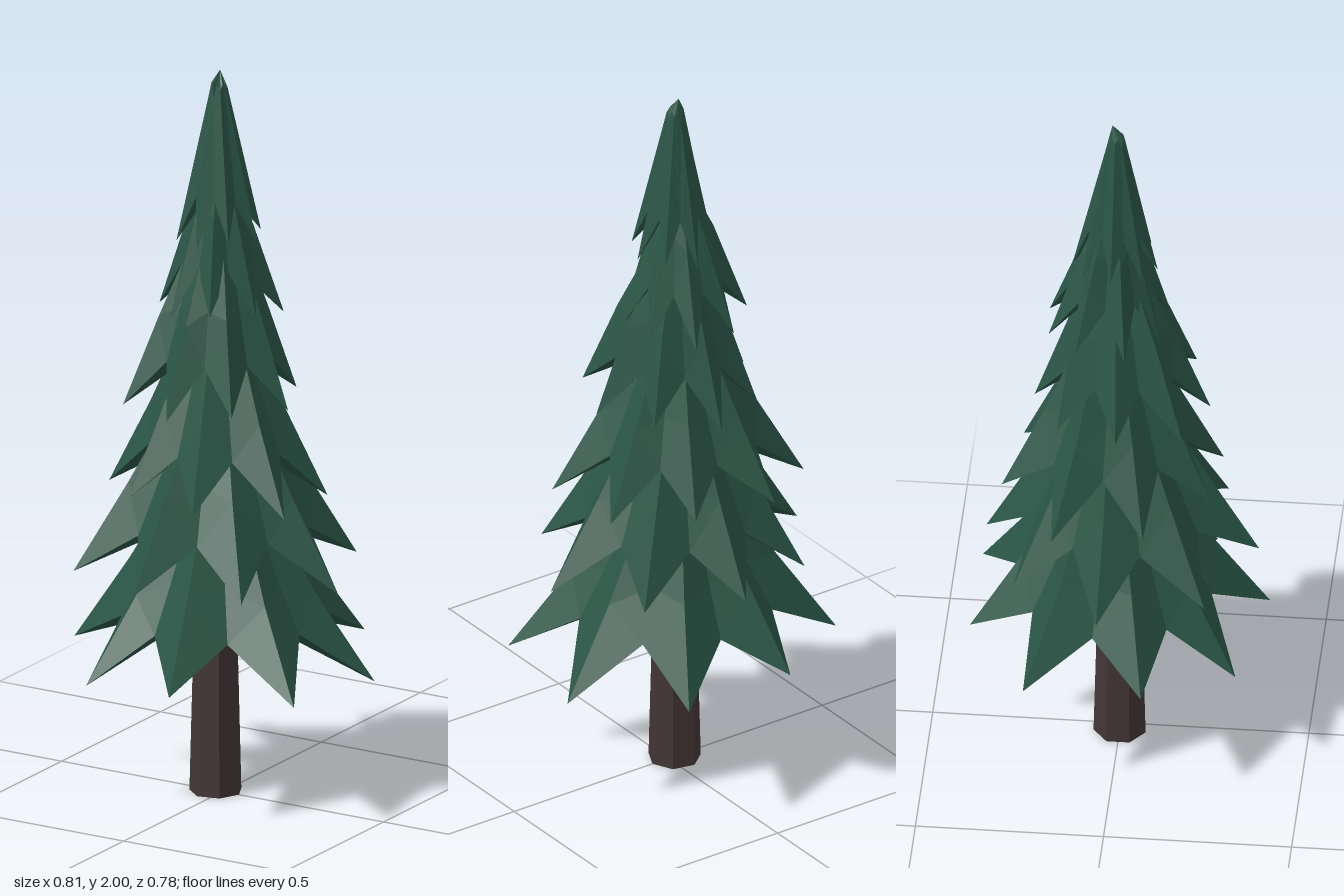
import * as THREE from 'three';

const needles = new THREE.MeshStandardMaterial({ color: 0x2a5546, flatShading: true });
needles.name = 'needle green';
const bark = new THREE.MeshStandardMaterial({ color: 0x433636, flatShading: true });
bark.name = 'bark brown';

const CX = -0.02, CZ = -0.01; // trunk axis

// Eight branch tips [x, y, z] of the three widest tiers
const lowTips = [
  [0.405, 0.345, -0.11], [0.36, 0.355, 0.225], [0.073, 0.38, 0.39], [-0.225, 0.345, 0.325],
  [-0.405, 0.39, 0.09], [-0.385, 0.38, -0.225], [-0.12, 0.39, -0.39], [0.205, 0.38, -0.385],
];
const secondTips = [
  [0.37, 0.615, 0.017], [0.222, 0.63, 0.267], [-0.045, 0.64, 0.372], [-0.31, 0.63, 0.25],
  [-0.397, 0.62, -0.03], [-0.255, 0.62, -0.265], [0, 0.635, -0.357], [0.259, 0.64, -0.257],
];
const thirdTips = [
  [0.262, 0.84, -0.105], [0.278, 0.84, 0.14], [0.07, 0.85, 0.268], [-0.14, 0.86, 0.25],
  [-0.3, 0.84, 0.085], [-0.33, 0.84, -0.155], [-0.13, 0.87, -0.305], [0.1, 0.87, -0.267],
];

// Regular ring of tips with a small wobble for the upper tiers
function ringTips(radius, y, phase, cx, cz) {
  return Array.from({ length: 8 }, (_, i) => {
    const a = phase + i * Math.PI / 4;
    const r = radius * (1 + 0.04 * Math.sin(i * 2.4 + phase * 9));
    return [cx + r * Math.cos(a), y + 0.015 * Math.sin(i * 1.9 + phase * 5), cz + r * Math.sin(a)];
  });
}

// Star-shaped skirt: tips and valleys, a kinked ridge ring, a peak and a hollow underside
function tierGeometry(tips, rise, taper, peakY) {
  const n = tips.length * 2;
  const meanY = tips.reduce((s, t) => s + t[1], 0) / tips.length;
  const toward = (p, k, y) => [CX + (p[0] - CX) * k, y, CZ + (p[2] - CZ) * k];
  const rim = [], mid = [];
  tips.forEach((t, i) => {
    const u = tips[(i + 1) % tips.length];
    const between = [(t[0] + u[0]) / 2, 0, (t[2] + u[2]) / 2];
    rim.push(t, toward(between, 0.7, meanY + 0.12));
    mid.push(toward(t, taper, t[1] + rise), toward(between, taper * 0.83, meanY + rise + 0.025));
  });
  const peak = [CX, peakY, CZ - 0.01];
  const hollow = [CX, meanY + 0.155, CZ];
  const pos = [];
  const tri = (...pts) => pts.forEach((p) => pos.push(...p));
  for (let i = 0; i < n; i++) {
    const j = (i + 1) % n;
    const a = rim[i], b = rim[j], A = mid[i], B = mid[j];
    if (i % 2 === 0) { tri(b, a, A); tri(b, A, B); }
    else { tri(b, a, B); tri(a, A, B); }
    tri(B, A, peak);
    tri(a, b, hollow);
  }
  const g = new THREE.BufferGeometry();
  g.setAttribute('position', new THREE.Float32BufferAttribute(pos, 3));
  g.computeVertexNormals();
  return g;
}

export function createModel() {
  const tree = new THREE.Group();
  tree.name = 'pineTree';

  // Seven-sided tapering trunk with one edge facing +x
  const trunk = new THREE.Mesh(new THREE.CylinderGeometry(0.052, 0.071, 0.75, 7), bark);
  trunk.name = 'trunk';
  trunk.position.set(CX, 0.375, 0);
  trunk.rotation.y = Math.PI / 2;
  tree.add(trunk);

  // Branch tiers from bottom to top: tips, ridge rise, ridge taper, peak height
  const tiers = [
    [lowTips, 0.23, 0.62, 1.05],
    [secondTips, 0.24, 0.62, 1.3],
    [thirdTips, 0.23, 0.62, 1.5],
    [ringTips(0.235, 1.1, 0.03, -0.02, 0.015), 0.24, 0.62, 1.7],
    [ringTips(0.167, 1.345, -0.37, -0.025, -0.035), 0.25, 0.52, 1.8],
    [ringTips(0.114, 1.54, 0.05, -0.013, -0.01), 0.4, 0.22, 2.0],
  ];
  tiers.forEach(([tips, rise, taper, peakY], i) => {
    const tier = new THREE.Mesh(tierGeometry(tips, rise, taper, peakY), needles);
    tier.name = `branchTier${i + 1}`;
    tree.add(tier);
  });
  return tree;
}
